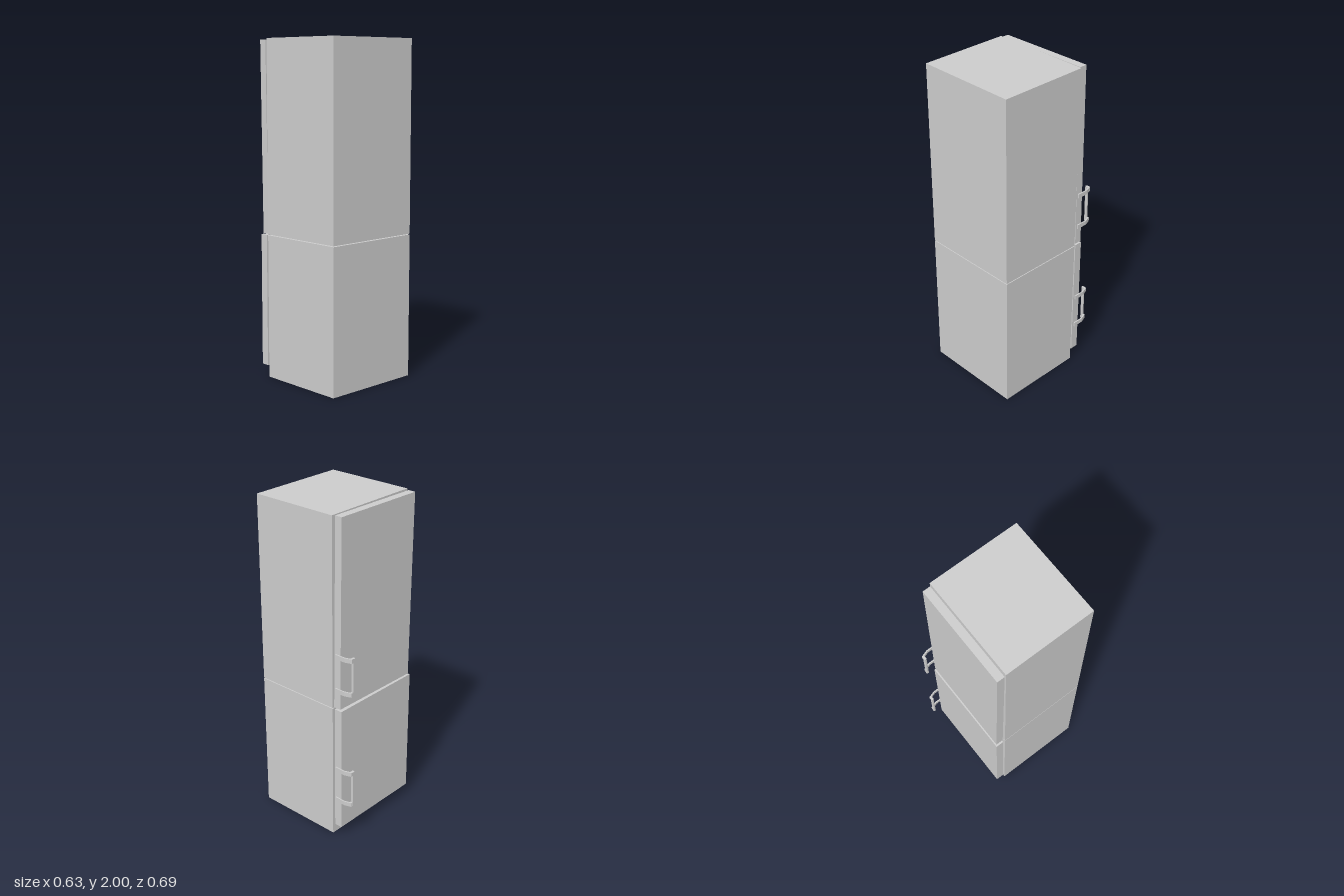
import * as THREE from 'three';

const material = new THREE.MeshStandardMaterial({ color: 0xcccccc, flatShading: true });

// Box given by its limits on each axis
function block(name, [x0, x1], [y0, y1], [z0, z1]) {
  const mesh = new THREE.Mesh(new THREE.BoxGeometry(x1 - x0, y1 - y0, z1 - z0), material);
  mesh.position.set((x0 + x1) / 2, (y0 + y1) / 2, (z0 + z1) / 2);
  mesh.name = name;
  return mesh;
}

// Plan outline (x, distance towards -z) raised to a height
function prism(name, points, y, height) {
  const shape = new THREE.Shape(points.map(([x, d]) => new THREE.Vector2(x, d)));
  const geometry = new THREE.ExtrudeGeometry(shape, { depth: height, bevelEnabled: false });
  geometry.rotateX(-Math.PI / 2);
  const mesh = new THREE.Mesh(geometry, material);
  mesh.position.y = y;
  mesh.name = name;
  return mesh;
}

// Bent arm and rounded grip, seen in plan
const armOutline = [
  [0.305, 0.234], [0.3126, 0.234], [0.3126, 0.302], [0.298, 0.345],
  [0.283, 0.345], [0.283, 0.333], [0.29, 0.331], [0.294, 0.331], [0.305, 0.298],
];
const gripOutline = [
  [0.2706, 0.334], [0.2745, 0.330], [0.283, 0.330], [0.288, 0.334],
  [0.288, 0.342], [0.285, 0.346], [0.2745, 0.346], [0.2706, 0.342],
];

function handle(name, y) {
  const group = new THREE.Group();
  group.name = name;
  group.add(
    prism('lowerArm', armOutline, 0, 0.026),
    prism('upperArm', armOutline, 0.209, 0.026),
    prism('grip', gripOutline, 0, 0.235),
  );
  group.position.y = y;
  return group;
}

export function createModel() {
  const model = new THREE.Group();
  model.name = 'fridgeFreezer';

  // Cabinet in two sections with a fine seam
  model.add(
    block('lowerCabinet', [-0.314, 0.308], [0, 0.858], [-0.21, 0.344]),
    block('upperCabinet', [-0.314, 0.308], [0.863, 2], [-0.21, 0.344]),
  );

  // Lower door
  const lowerDoor = new THREE.Group();
  lowerDoor.name = 'lowerDoor';
  lowerDoor.add(
    block('lowerDoorPanel', [-0.313, 0.304], [0.068, 0.858], [-0.272, -0.223]),
    handle('lowerHandle', 0.245),
  );
  model.add(lowerDoor);

  // Upper door hangs very slightly out of true
  const upperDoor = new THREE.Group();
  upperDoor.name = 'upperDoor';
  const upperHandle = handle('upperHandle', 0.97 - 0.868);
  upperHandle.position.z = 0.004;
  upperDoor.add(
    block('upperDoorPanel', [-0.303, 0.305], [0, 1.127], [-0.265, -0.219]),
    upperHandle,
  );
  upperDoor.position.y = 0.868;
  upperDoor.rotation.z = 0.0106;
  model.add(upperDoor);

  return model;
}
